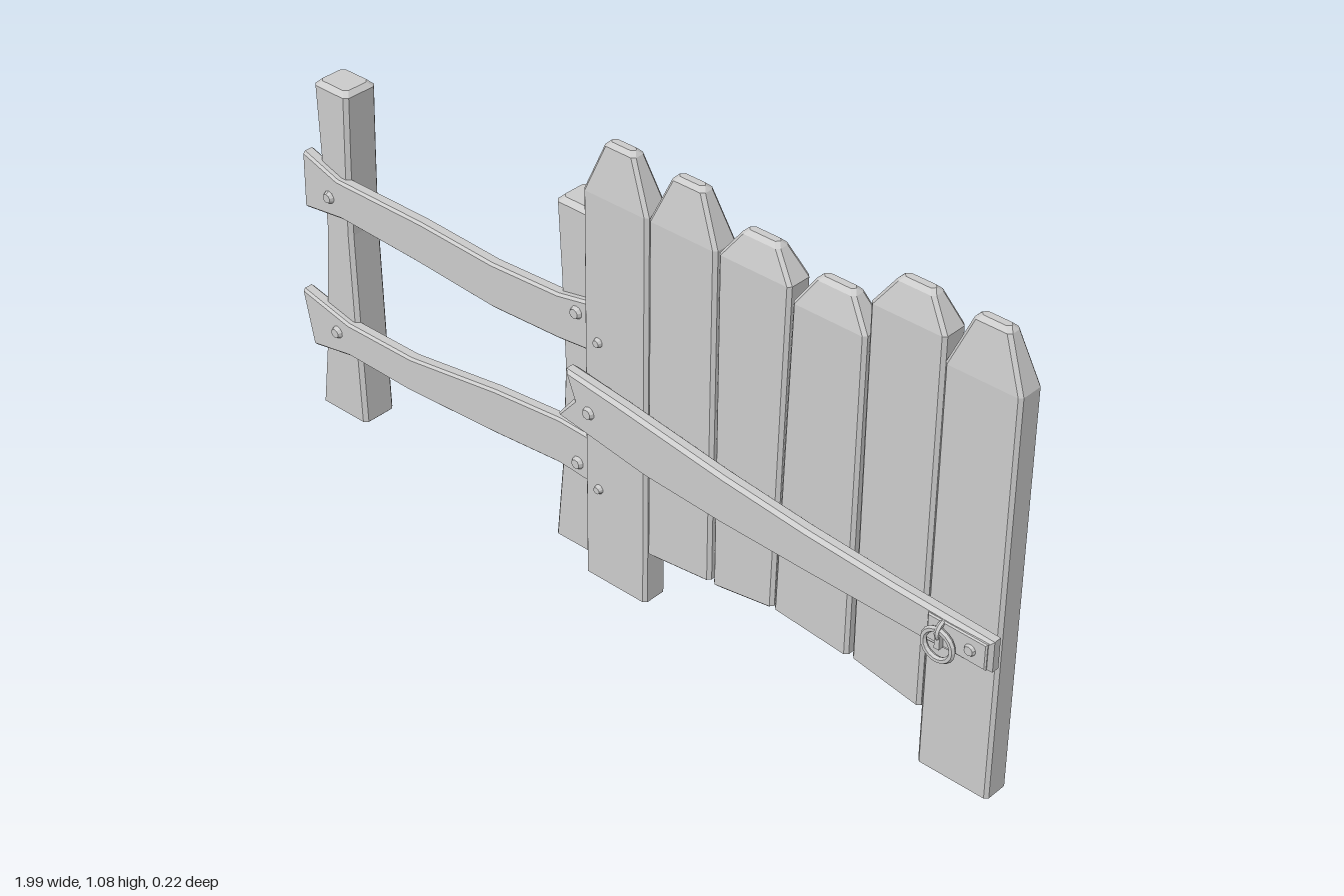
import * as THREE from 'three';

const material = new THREE.MeshStandardMaterial({ color: 0xcccccc, flatShading: true });

// Chamfered board through cross-sections [ax, ay, bx, by, zBack, zFront];
// a to b spans the width, and the sections advance 90 degrees anticlockwise from it.
function loft(sections, c) {
  const ring = ([ax, ay, bx, by, zb, zf], inset = 0) => {
    const len = Math.hypot(bx - ax, by - ay);
    const at = (d, z) => [ax + (bx - ax) * d / len, ay + (by - ay) * d / len, z];
    const lo = inset, hi = len - inset, b = zb + inset, f = zf - inset, k = c * 0.8;
    return [at(lo + k, f), at(hi - k, f), at(hi, f - k), at(hi, b + k),
      at(hi - k, b), at(lo + k, b), at(lo, b + k), at(lo, f - k)];
  };
  // Moves an end section inwards so the end gets a chamfer
  const shifted = (s, t) => {
    const dx = (t[0] + t[2] - s[0] - s[2]) / 2, dy = (t[1] + t[3] - s[1] - s[3]) / 2;
    const m = c / Math.hypot(dx, dy);
    return [s[0] + dx * m, s[1] + dy * m, s[2] + dx * m, s[3] + dy * m, s[4], s[5]];
  };
  const n = sections.length, first = sections[0], last = sections[n - 1];
  const rings = [ring(first, c), ring(shifted(first, sections[1])),
    ...sections.slice(1, -1).map((s) => ring(s)),
    ring(shifted(last, sections[n - 2])), ring(last, c)];
  const pos = [];
  const tri = (...p) => p.forEach((v) => pos.push(...v));
  for (let r = 0; r + 1 < rings.length; r++) {
    for (let i = 0; i < 8; i++) {
      const j = (i + 1) % 8, p = rings[r], q = rings[r + 1];
      tri(p[i], p[j], q[j]);
      tri(p[i], q[j], q[i]);
    }
  }
  const end = rings[rings.length - 1];
  for (let i = 1; i < 7; i++) {
    tri(rings[0][0], rings[0][i + 1], rings[0][i]);
    tri(end[0], end[i], end[i + 1]);
  }
  const g = new THREE.BufferGeometry();
  g.setAttribute('position', new THREE.Float32BufferAttribute(pos, 3));
  g.computeVertexNormals();
  return g;
}

export function createModel() {
  const model = new THREE.Group();
  const add = (name, geometry, x = 0, y = 0, z = 0) => {
    const mesh = new THREE.Mesh(geometry, material);
    mesh.name = name;
    mesh.position.set(x, y, z);
    model.add(mesh);
    return mesh;
  };

  // Posts: [y, left edge, right edge]
  const post = (name, rows) => add(name,
    loft(rows.map(([y, l, r]) => [l, y, r, y, -0.108, -0.018]), 0.011));
  post('outerPost', [[0, -0.97, -0.826], [0.2, -0.945, -0.832], [0.5, -0.923, -0.84],
    [0.68, -0.928, -0.836], [0.855, -0.934, -0.831]]);
  post('gatePost', [[0, -0.231, -0.087], [0.2, -0.212, -0.089], [0.45, -0.2, -0.091],
    [0.68, -0.208, -0.087], [0.86, -0.217, -0.082]]);

  // Rails: [top x, top y, bottom x, bottom y]
  const rail = (name, rows) => add(name,
    loft(rows.map((s) => [...s, -0.033, -0.002]), 0.007));
  rail('upperRail', [[-0.968, 0.675, -0.97, 0.533], [-0.86, 0.642, -0.85, 0.547],
    [-0.6, 0.642, -0.62, 0.538], [-0.39, 0.632, -0.39, 0.523], [-0.2, 0.641, -0.2, 0.531],
    [-0.08, 0.665, -0.08, 0.543], [0.073, 0.683, 0.088, 0.547]]);
  rail('lowerRail', [[-1, 0.308, -0.97, 0.17], [-0.85, 0.276, -0.85, 0.19],
    [-0.65, 0.276, -0.66, 0.186], [-0.39, 0.313, -0.39, 0.2], [-0.2, 0.33, -0.2, 0.215],
    [-0.08, 0.325, -0.08, 0.205], [0.073, 0.323, 0.088, 0.188]]);

  // Pickets: bottom left x, y, bottom right x, y, shoulder left, right, y, tip left, right, y
  const pickets = [
    [-0.078, 0.017, 0.093, 0.017, -0.078, 0.093, 0.96, -0.035, 0.045, 1.078],
    [0.095, 0.152, 0.268, 0.17, 0.095, 0.268, 0.96, 0.14, 0.222, 1.072],
    [0.275, 0.168, 0.434, 0.192, 0.273, 0.451, 0.96, 0.316, 0.409, 1.028],
    [0.436, 0.192, 0.626, 0.175, 0.456, 0.632, 0.932, 0.498, 0.591, 1.004],
    [0.637, 0.18, 0.808, 0.15, 0.637, 0.81, 1.012, 0.682, 0.77, 1.083],
    [0.81, 0.017, 0.982, 0.017, 0.81, 0.982, 0.96, 0.855, 0.938, 1.078],
  ];
  pickets.forEach(([x0, y0, x1, y1, sl, sr, sy, tl, tr, ty], i) => add('picket' + (i + 1), loft([
    [x0, y0, x1, y1, -0.015, 0.048],
    [sl, sy, sr, sy, -0.015, 0.048],
    [tl, ty, tr, ty, 0, 0.034],
  ], 0.009)));

  // Cross board with a split left end
  const outline = [[-0.095, 0.548], [0.06, 0.53], [0.33, 0.491], [0.54, 0.468], [0.757, 0.452],
    [0.992, 0.44], [0.992, 0.368], [0.84, 0.362], [0.54, 0.368], [0.33, 0.374], [0.125, 0.387],
    [0.01, 0.405], [-0.118, 0.428], [-0.072, 0.485]];
  const extrude = (points, depth, bevel) => new THREE.ExtrudeGeometry(
    new THREE.Shape(points.map(([x, y]) => new THREE.Vector2(x, y))),
    { depth: depth - 2 * bevel, bevelThickness: bevel, bevelSize: bevel, bevelOffset: -bevel, bevelSegments: 1 });
  add('crossBoard', extrude(outline, 0.034, 0.008), 0, 0, 0.062);

  // Nail heads: [x, y, z, radius]
  const nails = [[-0.885, 0.59, 0, 0.018], [-0.145, 0.62, 0, 0.018], [-0.885, 0.24, 0, 0.018],
    [-0.145, 0.245, 0, 0.018], [-0.037, 0.62, 0.05, 0.013], [-0.037, 0.257, 0.05, 0.013],
    [-0.027, 0.473, 0.089, 0.018], [0.947, 0.405, 0.092, 0.017]];
  for (const [x, y, z, r] of nails) {
    add('nail', new THREE.CylinderGeometry(r * 0.6, r, 0.014, 10), x, y, z).rotation.x = Math.PI / 2;
  }

  // Latch: plate, staple and hanging ring
  add('latchPlate', extrude([[0.845, 0.378], [0.984, 0.374], [0.984, 0.435], [0.845, 0.438]], 0.01, 0.003),
    0, 0, 0.086);
  add('latchStaple', new THREE.TorusGeometry(0.017, 0.006, 6, 12, Math.PI), 0.88, 0.415, 0.09)
    .rotation.set(0, Math.PI / 2, Math.PI / 2, 'YXZ');
  add('latchRing', new THREE.TorusGeometry(0.034, 0.007, 6, 18), 0.88, 0.386, 0.102);
  add('latchPin', new THREE.BoxGeometry(0.012, 0.045, 0.012), 0.88, 0.4, 0.1);

  return model;
}
